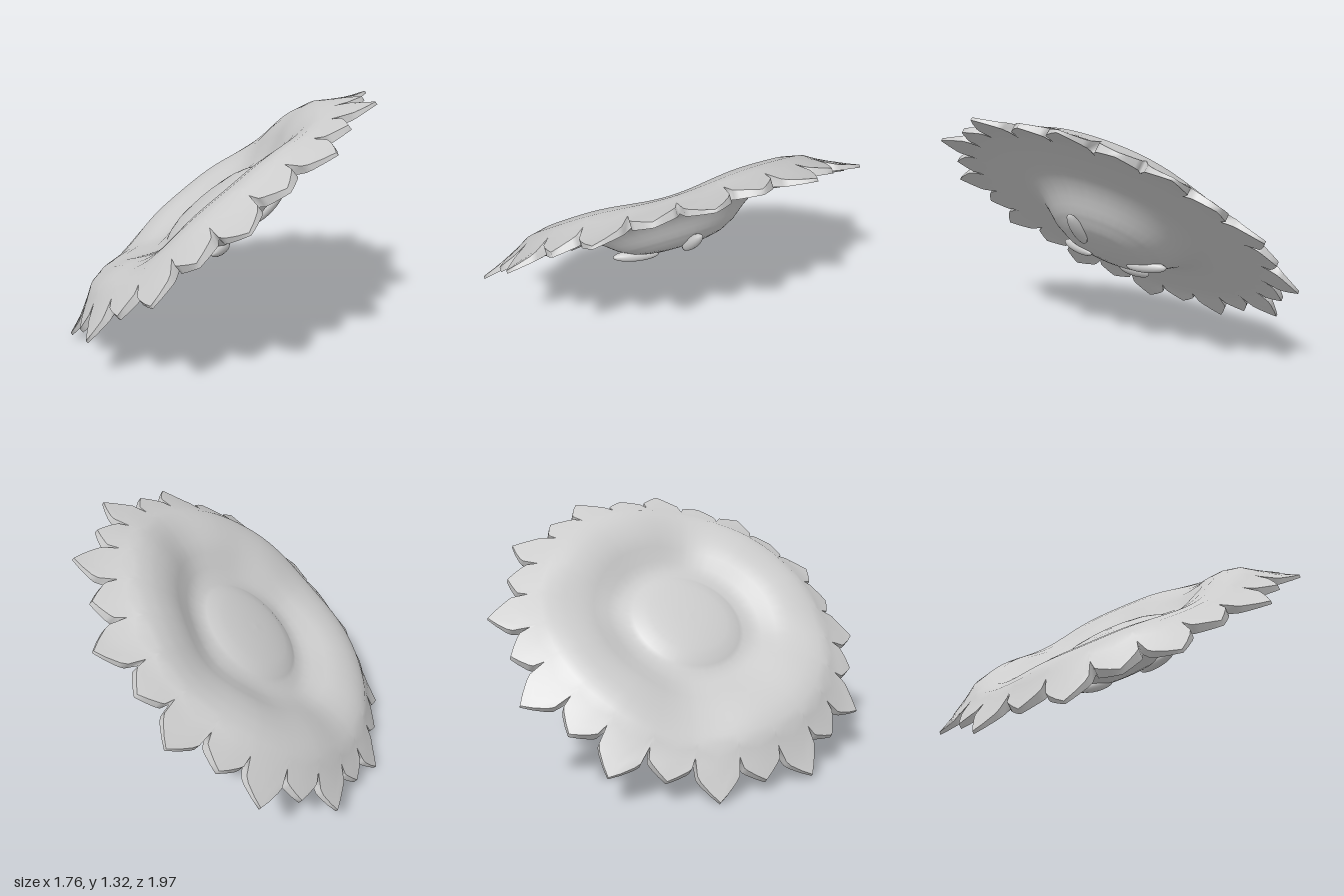
import * as THREE from 'three';

const DEG = Math.PI / 180;
const PETALS = 24;
const INNER = 0.8;

// Radius / height profiles of the upper and lower faces
const TOP = [[0, 0.1], [0.12, 0.096], [0.22, 0.083], [0.28, 0.065], [0.33, 0.042], [0.4, 0.045],
  [0.48, 0.08], [0.56, 0.118], [0.64, 0.137], [0.72, 0.14], [0.8, 0.122], [0.87, 0.075], [0.98, 0.012], [1.06, -0.015]];
const BOTTOM = [[0, -0.172], [0.14, -0.165], [0.24, -0.145], [0.33, -0.1], [0.4, -0.045], [0.45, -0.012],
  [0.52, 0.012], [0.62, 0.018], [0.75, 0.015], [0.87, 0.01], [0.98, -0.015], [1.06, -0.03]];
const RINGS = [0, 0.06, 0.12, 0.17, 0.22, 0.25, 0.28, 0.305, 0.33, 0.365, 0.4, 0.44, 0.48, 0.52, 0.56,
  0.6, 0.64, 0.68, 0.72, 0.76, INNER];
const EDGE_STEPS = 4;
const ROWS = RINGS.length + EDGE_STEPS;

// One petal outline: angle offset in degrees and share of the way from notch to tip
const PETAL = [[-7.5, 0], [-6.6, 0.42], [-5.4, 0.55], [-2.6, 0.79], [0, 1], [2.6, 0.79], [5.4, 0.55], [6.6, 0.42]];

// Long and short petals alternate round the rim
const COLUMNS = [];
for (let k = 0; k < PETALS; k++) {
  const tip = k % 2 ? 1.055 : 0.985;
  for (const [offset, share] of PETAL) {
    COLUMNS.push({ angle: (k * 15 - 4 + offset) * DEG, edge: 0.865 + (tip - 0.865) * share });
  }
}

function heightAt(profile, r) {
  let i = 1;
  while (i < profile.length - 1 && profile[i][0] < r) i++;
  const [r0, h0] = profile[i - 1], [r1, h1] = profile[i];
  return THREE.MathUtils.lerp(h0, h1, (r - r0) / (r1 - r0));
}

// Four soft radial valleys in the upper face
function valley(r, angle) {
  const t = THREE.MathUtils.clamp((r - 0.35) / 0.6, 0, 1);
  return -0.04 * Math.sin(Math.PI * t) * (0.5 + 0.5 * Math.cos(4 * (angle - 20 * DEG))) ** 2;
}

// Point on row i of a face, from the centre out to the petal edge
function facePoint(profile, i, { angle, edge }) {
  const s = (i - RINGS.length + 1) / EDGE_STEPS;
  const r = s > 0 ? INNER + (edge - INNER) * s : RINGS[i];
  const h = heightAt(profile, r) + (profile === TOP ? valley(r, angle) : 0);
  return [r * Math.cos(angle), h, r * Math.sin(angle)];
}

// Closed ring of quads between successive rows of points
function ringSurface(rows, point, flip = false) {
  const n = COLUMNS.length;
  const positions = [], index = [];
  for (let i = 0; i < rows; i++) {
    for (const column of COLUMNS) positions.push(...point(i, column));
  }
  for (let i = 0; i < rows - 1; i++) {
    for (let j = 0; j < n; j++) {
      const k = (j + 1) % n;
      const a = i * n + j, b = a + n, c = (i + 1) * n + k, d = i * n + k;
      if (flip) index.push(a, b, c, a, c, d);
      else index.push(a, c, b, a, d, c);
    }
  }
  const geometry = new THREE.BufferGeometry();
  geometry.setAttribute('position', new THREE.Float32BufferAttribute(positions, 3));
  geometry.setIndex(index);
  geometry.computeVertexNormals();
  return geometry;
}

export function createModel() {
  const material = new THREE.MeshStandardMaterial({ color: 0xcccccc });
  const flower = new THREE.Group();
  flower.name = 'flowerHead';
  const add = (name, geometry) => {
    const mesh = new THREE.Mesh(geometry, material);
    mesh.name = name;
    flower.add(mesh);
    return mesh;
  };

  add('petalsAndCentre', ringSurface(ROWS, (i, column) => facePoint(TOP, i, column)));
  add('underside', ringSurface(ROWS, (i, column) => facePoint(BOTTOM, i, column), true));
  add('petalEdge', ringSurface(2, (i, column) => facePoint(i ? BOTTOM : TOP, ROWS - 1, column)));

  // Small leaves lying on the underside: x, height, z, direction, half length
  const leaves = [
    [0.245, -0.155, 0.02, -5, 0.12],
    [-0.055, -0.145, 0.24, 95, 0.13],
    [-0.138, -0.142, -0.205, 260, 0.12],
    [-0.287, -0.125, -0.016, 209, 0.1],
  ];
  for (const [x, y, z, direction, length] of leaves) {
    const leaf = add('undersideLeaf', new THREE.SphereGeometry(1, 16, 10));
    leaf.scale.set(length, 0.032, 0.034);
    leaf.position.set(x, y, z);
    leaf.rotation.set(0, -direction * DEG, 0.2);
  }

  // Tilt the head: its axis leans to the right and a little forward
  const axis = new THREE.Vector3(-0.553, 0.776, 0.305).normalize();
  const across = new THREE.Vector3(axis.z, 0, -axis.x).normalize();
  const uphill = new THREE.Vector3().crossVectors(axis, across);
  flower.quaternion.setFromRotationMatrix(new THREE.Matrix4().makeBasis(uphill, axis, across));

  // Centre it and stand it on the ground
  const model = new THREE.Group();
  model.name = 'flower';
  model.add(flower);
  model.updateMatrixWorld(true);
  const box = new THREE.Box3().setFromObject(model, true);
  const centre = box.getCenter(new THREE.Vector3());
  flower.position.set(-centre.x, -box.min.y, -centre.z);
  return model;
}
